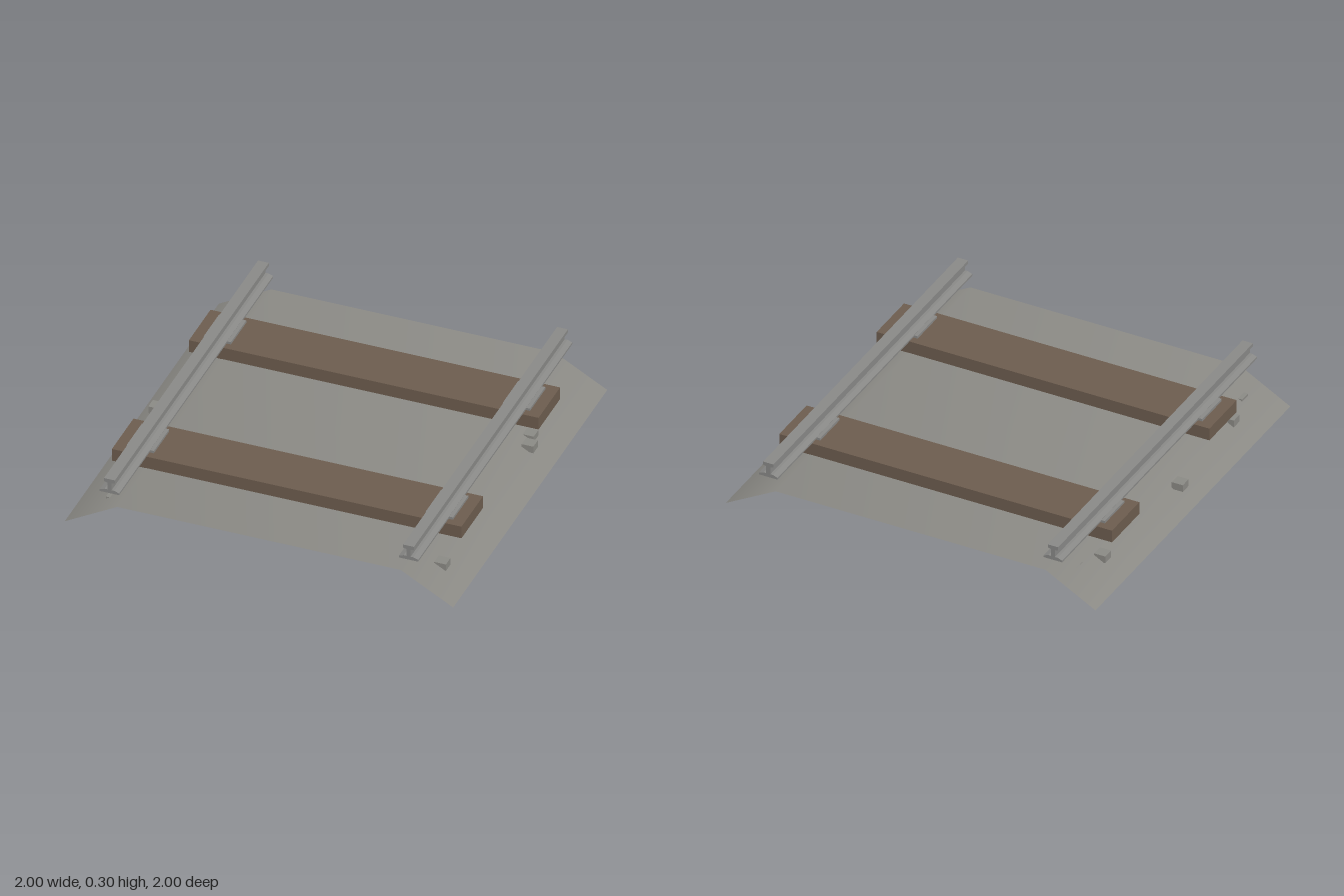
import * as THREE from 'three';

const ballast = new THREE.MeshStandardMaterial({ color: 0x8a8984, side: THREE.DoubleSide });
ballast.name = 'ballast grey';
const steel = new THREE.MeshStandardMaterial({ color: 0x888886 });
steel.name = 'steel grey';
const wood = new THREE.MeshStandardMaterial({ color: 0x6c5c4e });
wood.name = 'sleeper brown';

function box(name, material, size, position) {
  const mesh = new THREE.Mesh(new THREE.BoxGeometry(...size), material);
  mesh.name = name;
  mesh.position.set(...position);
  return mesh;
}

// Open sheet: flat crown with a sloping shoulder on each side
function ballastBed() {
  const profile = [[-1, 0], [-0.73, 0.15], [0.73, 0.15], [1, 0]];
  const positions = [], index = [];
  profile.forEach(([x, y], i) => {
    positions.push(x, y, -1, x, y, 1);
    if (i < profile.length - 1) {
      const a = i * 2;
      index.push(a, a + 1, a + 3, a, a + 3, a + 2);
    }
  });
  const geometry = new THREE.BufferGeometry();
  geometry.setAttribute('position', new THREE.Float32BufferAttribute(positions, 3));
  geometry.setIndex(index);
  geometry.computeVertexNormals();
  const mesh = new THREE.Mesh(geometry, ballast);
  mesh.name = 'ballastBed';
  return mesh;
}

// I-shaped rail section, mirrored about its web and extruded along the track
function railGeometry() {
  const half = [[0.05, 0.22], [0.05, 0.23], [0.025, 0.239], [0.011, 0.239],
    [0.011, 0.278], [0.028, 0.283], [0.028, 0.3]];
  const outline = [...half, ...half.map(([x, y]) => [-x, y]).reverse()];
  const shape = new THREE.Shape(outline.map(([x, y]) => new THREE.Vector2(x, y)));
  return new THREE.ExtrudeGeometry(shape, { depth: 2, bevelEnabled: false }).translate(0, 0, -1);
}

export function createModel() {
  const model = new THREE.Group();
  model.name = 'railwayTrack';
  model.add(ballastBed());

  // Sleepers with a bearing plate under each rail
  for (const z of [-0.5, 0.5]) {
    model.add(box('sleeper', wood, [1.8, 0.067, 0.28], [0, 0.1825, z]));
    for (const x of [-0.77, 0.77]) {
      model.add(box('bearingPlate', steel, [0.14, 0.013, 0.2], [x, 0.2225, z]));
    }
  }

  // Rails
  const section = railGeometry();
  for (const side of [-1, 1]) {
    const rail = new THREE.Mesh(section, steel);
    rail.name = side > 0 ? 'leftRail' : 'rightRail';
    rail.position.x = side * 0.77;
    model.add(rail);
  }

  // Loose stones half sunk in the shoulders
  const stones = [[-0.865, -0.67], [-0.79, -0.82], [-0.79, -0.39], [-0.905, 0.05], [-0.86, 0.66],
    [-0.81, 0.84], [0.875, -0.31], [0.845, -0.39], [0.822, -0.65], [0.857, 0.78]];
  for (const [x, z] of stones) {
    model.add(box('stone', ballast, [0.06, 0.038, 0.06], [x, 0.082, z]));
  }
  return model;
}
